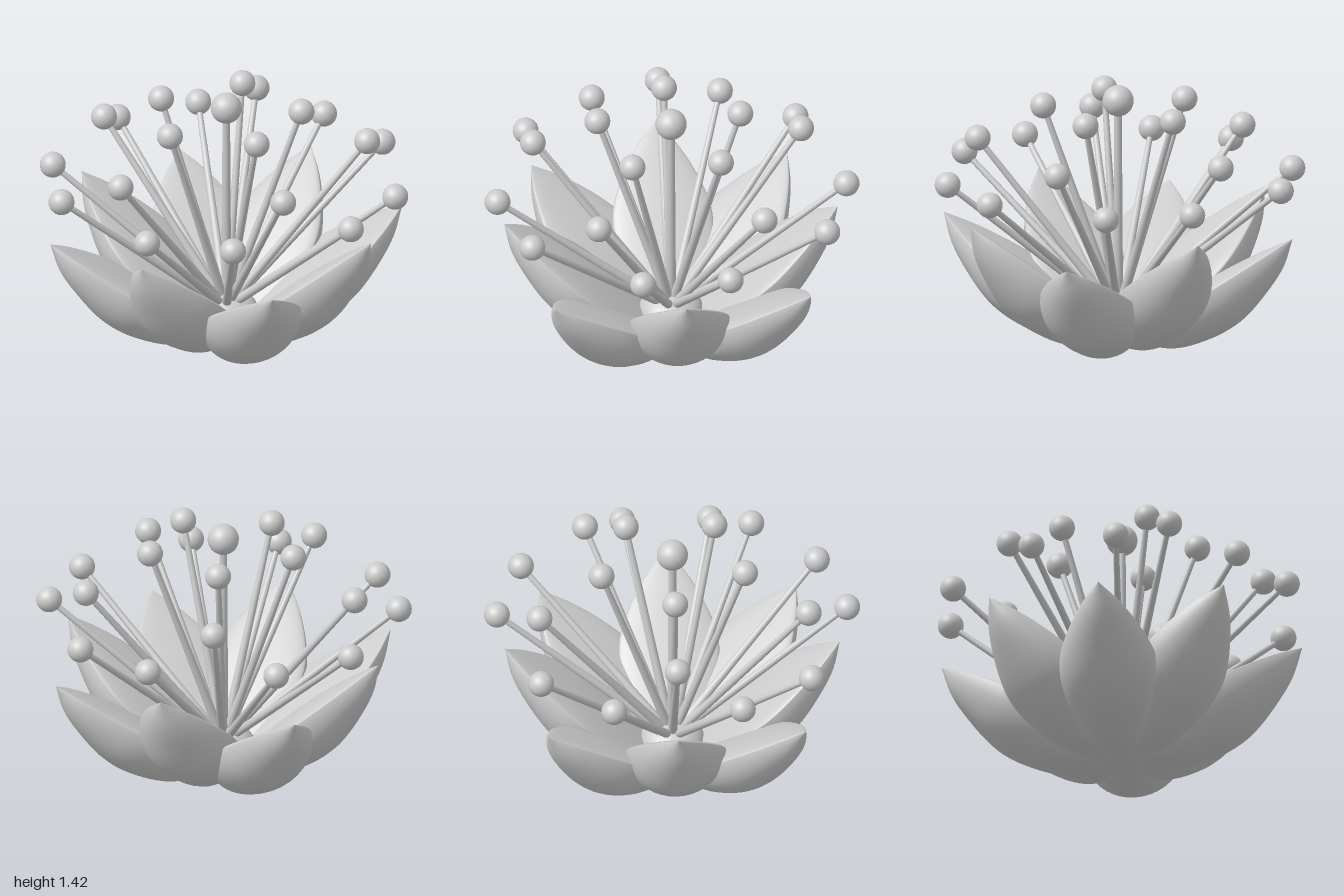
import * as THREE from 'three';

const material = new THREE.MeshStandardMaterial({ color: 0xcccccc, roughness: 0.7 });

function addMesh(parent, name, geometry) {
  const mesh = new THREE.Mesh(geometry, material);
  mesh.name = name;
  parent.add(mesh);
  return mesh;
}

// Pointed petal along +x: shallow upper face, deep rounded underside.
function petalGeometry() {
  const rows = 40, sides = 40;
  // length along petal, half width, depth of the underside
  const spine = new THREE.CatmullRomCurve3([
    [0, 0, 0], [0.04, 0.05, 0.03], [0.14, 0.125, 0.088], [0.29, 0.2, 0.188], [0.48, 0.256, 0.233],
    [0.6, 0.267, 0.24], [0.7, 0.256, 0.228], [0.84, 0.207, 0.186], [1.02, 0.11, 0.108], [1.16, 0, 0],
  ].map((p) => new THREE.Vector3(...p)));
  const positions = [], index = [];
  for (let i = 0; i <= rows; i++) {
    const p = spine.getPoint(i / rows);
    for (let j = 0; j < sides; j++) {
      const a = (j / sides) * Math.PI * 2;
      const height = Math.sin(a) > 0 ? 0.15 * p.y : p.z;
      positions.push(p.x, Math.sin(a) * height, Math.cos(a) * p.y);
      if (i === rows) continue;
      const k = (j + 1) % sides;
      const q = i * sides;
      if (i < rows - 1) index.push(q + j, q + sides + j, q + sides + k);
      else index.push(q + j, q + sides + j, q + k);
      if (i > 0 && i < rows - 1) index.push(q + j, q + sides + k, q + k);
    }
  }
  const geometry = new THREE.BufferGeometry();
  geometry.setAttribute('position', new THREE.Float32BufferAttribute(positions, 3));
  geometry.setIndex(index);
  geometry.computeVertexNormals();
  return geometry;
}

// Tapered filament from the hub to a ball at its tip.
function addStamen(parent, tip, radius, topR, baseR) {
  const stamen = new THREE.Group();
  stamen.name = 'stamen';
  const base = new THREE.Vector3(0, 0.16, 0);
  const direction = tip.clone().sub(base);
  const filament = addMesh(stamen, 'filament', new THREE.CylinderGeometry(topR, baseR, direction.length(), 16));
  filament.position.copy(base).lerp(tip, 0.5);
  filament.quaternion.setFromUnitVectors(new THREE.Vector3(0, 1, 0), direction.normalize());
  addMesh(stamen, 'anther', new THREE.SphereGeometry(radius, 28, 20)).position.copy(tip);
  parent.add(stamen);
}

export function createModel() {
  const flower = new THREE.Group();
  flower.name = 'flower';
  flower.position.x = -0.018;

  // Eight petals, alternately steep and shallow
  const petal = petalGeometry();
  for (let i = 0; i < 8; i++) {
    const mesh = addMesh(flower, 'petal', petal);
    const tilt = i % 2 ? 0.59 : 0.7;
    mesh.rotation.set(0, (i * Math.PI) / 4, tilt, 'YXZ');
  }

  // Hub
  const hub = addMesh(flower, 'hub', new THREE.SphereGeometry(0.17, 40, 24));
  hub.scale.y = 0.66;
  hub.position.y = 0.145;

  // Centre stamen
  addStamen(flower, new THREE.Vector3(0, 1.33, 0), 0.083, 0.02, 0.027);

  // Three rings of stamens with fivefold symmetry
  const rings = [
    { r: 0.4, y: 1.29, offsets: [36] },
    { r: 0.75, y: 1.1, offsets: [36] },
    { r: 0.93, y: 0.93, offsets: [-14.5, 14.5] },
  ];
  for (const { r, y, offsets } of rings) {
    for (let k = 0; k < 5; k++) {
      for (const offset of offsets) {
        const a = THREE.MathUtils.degToRad(72 * k + offset);
        addStamen(flower, new THREE.Vector3(r * Math.cos(a), y, r * Math.sin(a)), 0.069, 0.015, 0.025);
      }
    }
  }

  const model = new THREE.Group();
  model.name = 'model';
  model.add(flower);
  return model;
}
